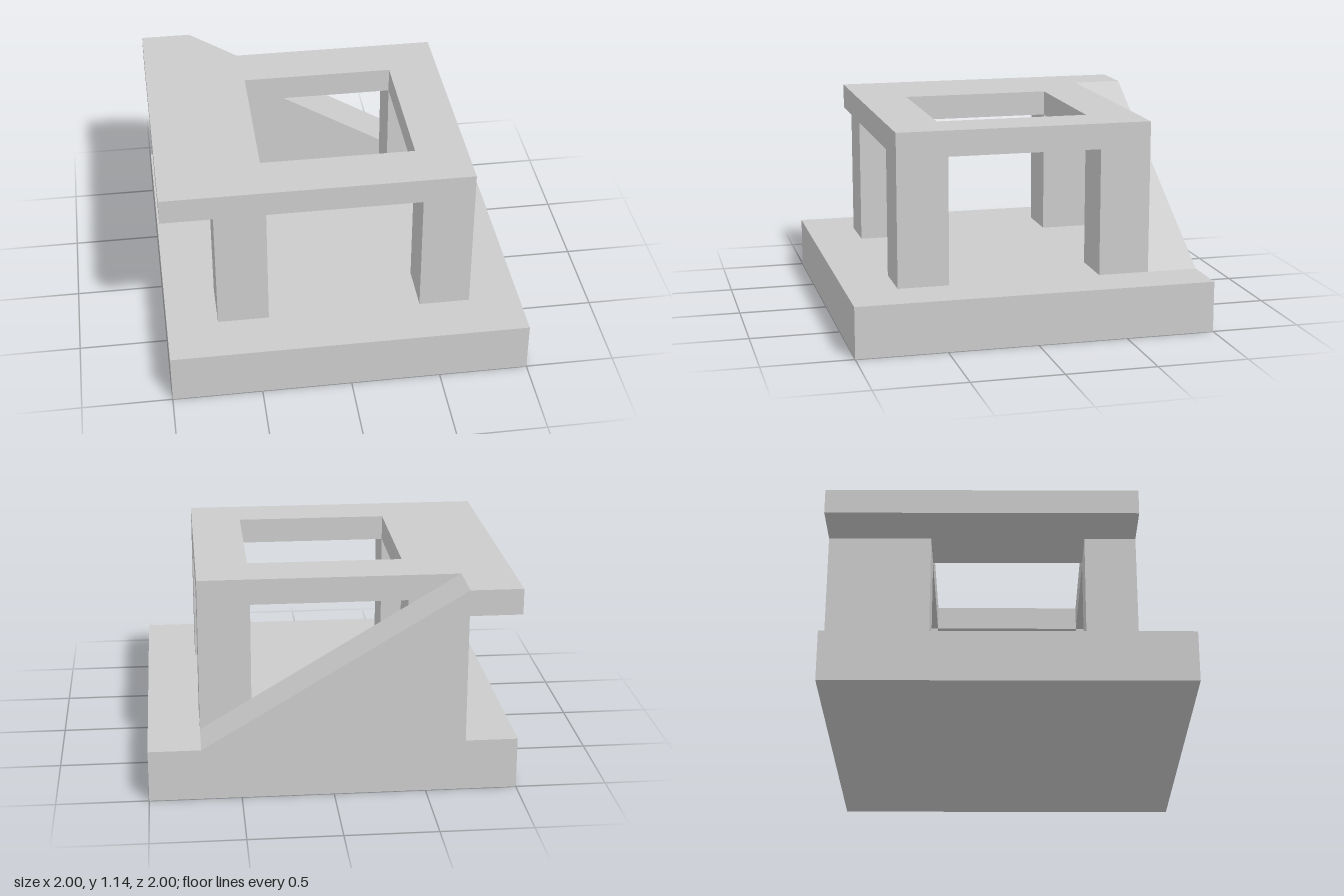
import * as THREE from 'three';

const U = 1 / 7; // module unit: the whole model is 14 units wide
const BASE = 2 * U, DECK = 7 * U, TOP = 8 * U;
const IN = 3 * U, OUT = 5 * U;

const polygon = (points) => points.map(([x, y]) => new THREE.Vector2(x, y));

export function createModel() {
  const model = new THREE.Group();
  const material = new THREE.MeshStandardMaterial({ color: 0xcccccc, flatShading: true });

  const add = (name, geometry, x = 0, y = 0, z = 0) => {
    const mesh = new THREE.Mesh(geometry, material);
    mesh.name = name;
    mesh.position.set(x, y, z);
    model.add(mesh);
  };

  // Square base slab
  add('base', new THREE.BoxGeometry(2, BASE, 2), 0, BASE / 2, 0);

  // Four square pillars
  const pillar = new THREE.BoxGeometry(OUT - IN, DECK - BASE, OUT - IN);
  for (const sx of [-1, 1]) {
    for (const sz of [-1, 1]) {
      const name = (sz > 0 ? 'front' : 'back') + (sx > 0 ? 'Left' : 'Right') + 'Pillar';
      add(name, pillar, sx * 4 * U, (BASE + DECK) / 2, sz * 4 * U);
    }
  }

  // Upper deck: overhangs on the right with a landing at the back, square opening in the middle
  const deckShape = new THREE.Shape(polygon([
    [-1, OUT], [-1, -1], [-OUT, -1], [-OUT, -OUT], [OUT, -OUT], [OUT, OUT],
  ]));
  deckShape.holes.push(new THREE.Path(polygon([[-IN, -IN], [-IN, IN], [IN, IN], [IN, -IN]])));
  const deck = new THREE.ExtrudeGeometry(deckShape, { depth: TOP - DECK, bevelEnabled: false });
  deck.rotateX(Math.PI / 2);
  add('deck', deck, 0, TOP, 0);

  // Solid ramp along the back, rising from the base to the landing
  const rampShape = new THREE.Shape(polygon([[-OUT, BASE], [OUT, BASE], [-OUT, TOP]]));
  const ramp = new THREE.ExtrudeGeometry(rampShape, { depth: 1 - OUT, bevelEnabled: false });
  add('ramp', ramp, 0, 0, -1);

  return model;
}
